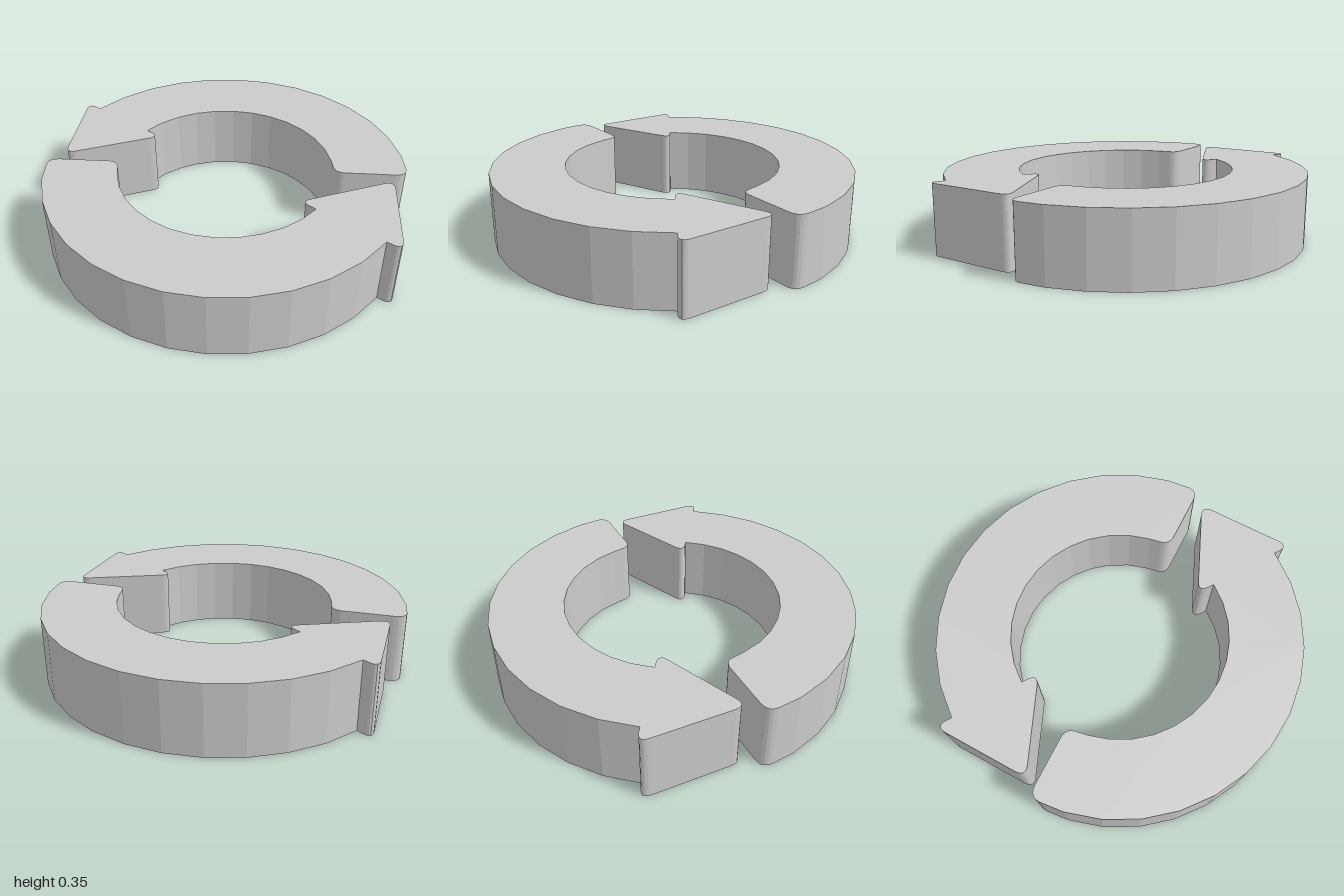
import * as THREE from 'three';

const HEIGHT = 0.355, OUTER = 0.93, INNER = 0.553;
const STEP = Math.PI / 16; // ring facet angle

// One curved arrow in plan (shape y points to the back)
function arrowShape() {
  const s = new THREE.Shape();
  const ringPoint = (r, i) => s.lineTo(r * Math.cos(i * STEP), r * Math.sin(i * STEP));

  // Arrow head with rounded corners
  s.moveTo(0, -INNER);
  s.lineTo(0, -0.515);
  s.quadraticCurveTo(0.005, -0.46, 0.055, -0.495);
  s.lineTo(0.385, -0.709);
  s.quadraticCurveTo(0.428, -0.74, 0.385, -0.771);
  s.lineTo(0.055, -0.985);
  s.quadraticCurveTo(0.005, -1.018, 0, -0.965);

  // Outer edge, from the head round to the tail
  for (let i = 24; i >= 12; i--) ringPoint(OUTER, i);

  // Slanted tail with rounded corners
  s.lineTo(-0.58, 0.722);
  s.quadraticCurveTo(-0.525, 0.775, -0.485, 0.72);
  s.lineTo(-0.335, 0.503);
  s.quadraticCurveTo(-0.315, 0.465, -0.345, 0.435);

  // Inner edge, back to the head
  for (let i = 12; i < 24; i++) ringPoint(INNER, i);
  s.closePath();
  return s;
}

export function createModel() {
  const group = new THREE.Group();
  group.name = 'circularArrows';
  const material = new THREE.MeshStandardMaterial({ color: 0xcccccc, flatShading: true });
  const geometry = new THREE.ExtrudeGeometry(arrowShape(), {
    depth: HEIGHT, bevelEnabled: false, curveSegments: 6,
  });
  geometry.rotateX(-Math.PI / 2);

  // Two identical arrows chasing each other
  ['frontArrow', 'backArrow'].forEach((name, i) => {
    const arrow = new THREE.Mesh(geometry, material);
    arrow.name = name;
    arrow.rotation.y = i * Math.PI;
    group.add(arrow);
  });
  return group;
}
